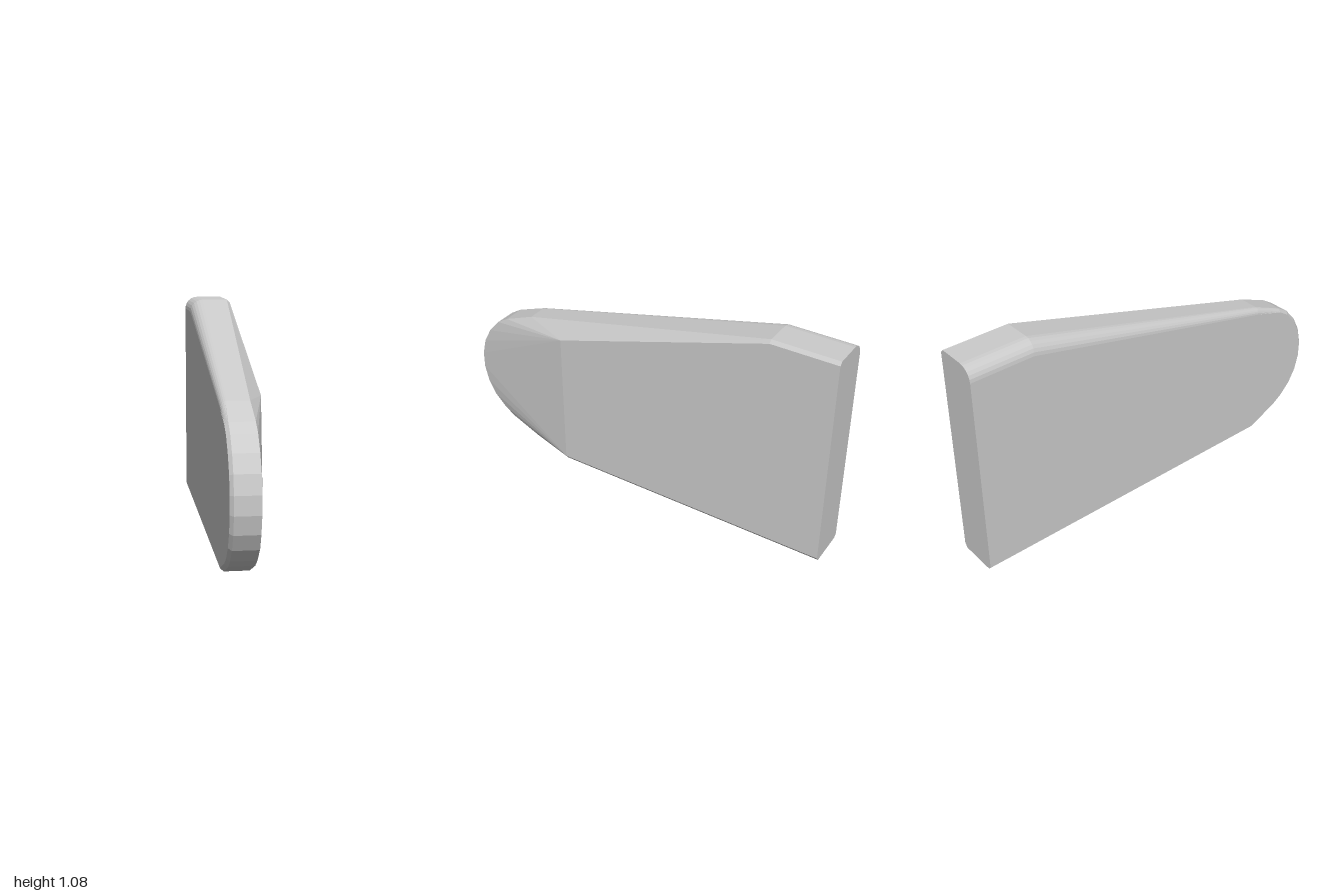
import * as THREE from 'three';

const HALF = 0.105; // half thickness
const ARC = 6;      // steps around the rounded edge

// Side outline from the bottom rear, round the nose, to the top rear:
// z, y, x of the bevel edge, radius of the edge on the flat side, matching corner of the raised face
const CORNERS = [[-1, 0.02], [0.42, 0.02], [0.42, 0.72], [-0.68, 1.068], [-1, 1.068]];
const OUTLINE = [
  [-1, 0, 0.09, 0.015, 0],
  [0.42, 0, 0.09, 0.015, 1],
  [0.66, 0, 0.022, 0.015, 1],
  [0.82, 0.07, 0.022, 0.015, 1],
  [0.88, 0.11, 0.022, 0.015, 1],
  [0.94, 0.172, 0.022, 0.015, 1],
  [0.98, 0.245, 0.022, 0.015, 1],
  [1, 0.328, 0.022, 0.015, 1],
  [1, 0.41, 0.022, 0.015, 2],
  [0.98, 0.492, 0.022, 0.015, 2],
  [0.94, 0.567, 0.022, 0.015, 2],
  [0.88, 0.635, 0.022, 0.015, 2],
  [0.82, 0.672, 0.022, 0.015, 2],
  [0.66, 0.735, 0.022, 0.03, 2],
  [-0.68, 1.083, 0.09, 0.065, 3],
  [-1, 1.083, 0.09, 0.065, 4],
];

// Unit direction pointing into the outline at point i, as [z, y]
function inward(i) {
  const edgeNormal = (a, b) => {
    const dz = b[0] - a[0], dy = b[1] - a[1], l = Math.hypot(dz, dy);
    return [-dy / l, dz / l];
  };
  const p = OUTLINE[i], prev = OUTLINE[i - 1], next = OUTLINE[i + 1];
  const n1 = edgeNormal(prev ?? p, prev ? p : next);
  const n2 = edgeNormal(next ? p : prev, next ?? p);
  const z = n1[0] + n2[0], y = n1[1] + n2[1], l = Math.hypot(z, y);
  return [z / l, y / l];
}

// Loops across the thickness: raised face, bevel edge, then the rounded edge into the flat side
function buildLoops() {
  const loops = [
    OUTLINE.map((p) => new THREE.Vector3(HALF, CORNERS[p[4]][1], CORNERS[p[4]][0])),
    OUTLINE.map((p) => new THREE.Vector3(p[2], p[1], p[0])),
  ];
  for (let k = 0; k <= ARC; k++) {
    const t = k / ARC, a = t * Math.PI / 2;
    loops.push(OUTLINE.map(([z, y, , r], i) => {
      const [nz, ny] = inward(i);
      const round = r > 0.02; // small edges are plain chamfers
      const inset = r * (round ? 1 - Math.cos(a) : t);
      const x = -HALF + r * (round ? 1 - Math.sin(a) : 1 - t);
      return new THREE.Vector3(x, y + ny * inset, z + nz * inset);
    }));
  }
  return loops;
}

function buildGeometry() {
  const loops = buildLoops(), n = OUTLINE.length, positions = [];
  const tri = (a, b, c) => {
    if (new THREE.Triangle(a, b, c).getArea() < 1e-8) return;
    for (const v of [a, b, c]) positions.push(v.x, v.y, v.z);
  };
  // Walls; closing each loop also forms the flat rear end
  for (let j = 0; j < loops.length - 1; j++) {
    for (let i = 0; i < n; i++) {
      const k = (i + 1) % n;
      const a = loops[j][i], b = loops[j][k], c = loops[j + 1][k], d = loops[j + 1][i];
      tri(a, b, c);
      tri(a, c, d);
    }
  }
  // Raised face and flat side
  const face = loops[0], back = loops[loops.length - 1];
  for (let i = 1; i < n - 1; i++) {
    tri(face[0], face[i + 1], face[i]);
    tri(back[0], back[i], back[i + 1]);
  }
  const geometry = new THREE.BufferGeometry();
  geometry.setAttribute('position', new THREE.Float32BufferAttribute(positions, 3));
  geometry.computeVertexNormals();
  return geometry;
}

export function createModel() {
  const group = new THREE.Group();
  group.name = 'taperedPanel';
  const material = new THREE.MeshStandardMaterial({ color: 0xcccccc, flatShading: true });
  const body = new THREE.Mesh(buildGeometry(), material);
  body.name = 'panelBody';
  group.add(body);
  return group;
}
